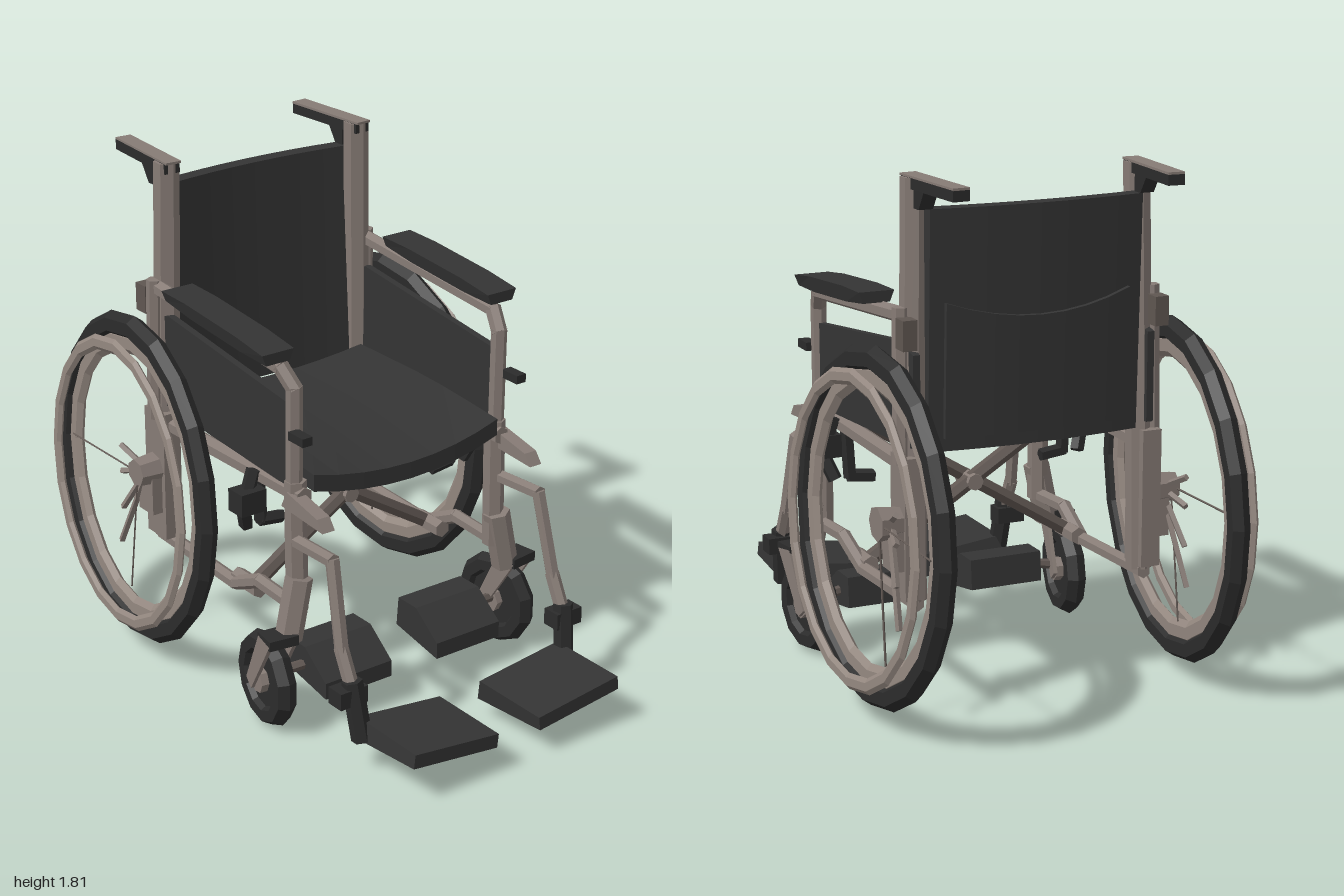
import * as THREE from 'three';
import { mergeGeometries } from 'three/addons/utils/BufferGeometryUtils.js';

const mat = (name, color) => Object.assign(new THREE.MeshStandardMaterial({ color }), { name });

export function createModel() {
  const frame = mat('frame metal', 0x867b75);
  const bright = mat('bright rim metal', 0x93877f);
  const dull = mat('dull metal', 0x5f5651);
  const fabric = mat('dark fabric', 0x343434);
  const rubber = mat('black rubber', 0x2b2b2b);
  const model = new THREE.Group();
  model.name = 'wheelchair';

  // Faceted mesh helper
  const add = (name, geo, material, x = 0, y = 0, z = 0, parent = model) => {
    const flat = geo.index ? geo.toNonIndexed() : geo;
    flat.computeVertexNormals();
    const m = new THREE.Mesh(flat, material);
    m.name = name;
    m.position.set(x, y, z);
    parent.add(m);
    return m;
  };

  // Chain of straight bars through a list of points
  const pathGeo = (points, r, sides) => mergeGeometries(points.slice(1).map((p, i) => {
    const a = new THREE.Vector3(...points[i]), b = new THREE.Vector3(...p);
    const dir = b.clone().sub(a), len = dir.length();
    const g = new THREE.CylinderGeometry(r, r, len + r * 0.6, sides);
    g.applyQuaternion(new THREE.Quaternion().setFromUnitVectors(new THREE.Vector3(0, 1, 0), dir.normalize()));
    const mid = a.add(b).multiplyScalar(0.5);
    return g.translate(mid.x, mid.y, mid.z);
  }));

  // Plate with a [z, y] outline and a thickness along x
  const sideProfile = (pts, width) => {
    const shape = new THREE.Shape(pts.map(([z, y]) => new THREE.Vector2(z, y)));
    return new THREE.ExtrudeGeometry(shape, { depth: width, bevelEnabled: false })
      .translate(0, 0, -width / 2).rotateY(-Math.PI / 2);
  };

  // Moves every vertex by a rule
  const bend = (geo, rule) => {
    const p = geo.attributes.position, v = new THREE.Vector3();
    for (let i = 0; i < p.count; i++) {
      v.fromBufferAttribute(p, i);
      rule(v);
      p.setXYZ(i, v.x, v.y, v.z);
    }
    return geo;
  };

  // Sagging seat sling, lower at its front edge
  add('seat', bend(new THREE.BoxGeometry(0.78, 0.06, 0.8, 8, 1, 5), v => {
    const front = Math.max(0, v.z / 0.4);
    v.y -= 0.03 * front + (0.025 + 0.025 * front) * (1 - (v.x / 0.39) ** 2);
    if (v.z > 0.39) v.z -= 0.02 * (v.x / 0.39) ** 2;
  }), fabric, 0, 0.94, 0);

  // Slightly bowed, reclined backrest and its rear pocket
  const bow = v => { v.z -= 0.03 * (1 - (v.x / 0.385) ** 2) + 0.03 * v.y; };
  add('backrest', bend(new THREE.BoxGeometry(0.76, 0.8, 0.055, 8, 1, 1), bow), fabric, 0, 1.31, -0.49);
  add('backPocket', bend(new THREE.BoxGeometry(0.66, 0.45, 0.025, 8, 1, 1), v => {
    bow(v);
    if (v.y > 0) v.y -= 0.06 * (1 - (v.x / 0.33) ** 2);
  }), fabric, 0, 1.18, -0.518);

  for (const s of [1, -1]) {
    const side = new THREE.Group();
    side.name = s > 0 ? 'leftSide' : 'rightSide';
    model.add(side);
    const part = (name, geo, m, x, y, z) => add(name, geo, m, x * s, y, z, side);
    const tube = (name, pts, r, m = frame, sides = 6) =>
      add(name, pathGeo(pts.map(([x, y, z]) => [x * s, y, z]), r, sides), m, 0, 0, 0, side);

    // Large rear wheel: slightly oval, cambered and toed
    const ring = (name, radius, t, squash, m, x) => {
      const g = new THREE.TorusGeometry(radius, t, 6, 20).rotateY(Math.PI / 2).scale(squash, 1, 0.89);
      part(name, g, m, x, 0.665, -0.46).rotation.set(0, 0.068 * s, 0.025 * s);
    };
    ring('rearTyre', 0.562, 0.046, 0.8, rubber, 0.555);
    ring('rearRim', 0.505, 0.042, 0.5, bright, 0.555);
    ring('handRim', 0.512, 0.028, 0.5, bright, 0.633);

    // Hub, axle plate and a few fine spokes
    part('hub', new THREE.CylinderGeometry(0.05, 0.06, 0.1, 7).rotateZ(Math.PI / 2), frame, 0.5, 0.68, -0.47);
    part('axlePlate', new THREE.BoxGeometry(0.07, 0.48, 0.12), frame, 0.435, 0.66, -0.465);
    part('axleBracket', new THREE.BoxGeometry(0.05, 0.16, 0.09), frame, 0.485, 0.6, -0.47);
    [[0.21, -0.53], [0.68, -0.9]].forEach(([y, z]) =>
      tube('spoke', [[0.54, 0.68, -0.47], [0.545, y, z]], 0.004, dull, 4));
    [[0.74, -0.59], [0.64, -0.59], [0.5, -0.59], [0.36, -0.61]].forEach(([y, z]) =>
      tube('spokeStub', [[0.5, 0.68, -0.47], [0.53, y, z]], 0.012, frame, 4));

    // Back post and push handle
    tube('backPost', [[0.42, 0.42, -0.47], [0.415, 0.95, -0.46], [0.4, 1.79, -0.447]], 0.045);
    part('pushHandle', new THREE.BoxGeometry(0.058, 0.036, 0.35), rubber, 0.388, 1.787, -0.585).rotation.y = 0.07 * s;
    part('handleTop', new THREE.BoxGeometry(0.058, 0.008, 0.36), frame, 0.388, 1.808, -0.58).rotation.y = 0.07 * s;
    part('handleGusset', sideProfile([[-0.49, 1.77], [-0.49, 1.71], [-0.53, 1.71], [-0.57, 1.77]], 0.05), rubber, 0.395, 0, 0);

    // Armrest: bent tube, rear socket, tapered pad and side panel
    tube('armTube', [[0.43, 0.85, 0.325], [0.43, 1.24, 0.33], [0.445, 1.3, 0.28], [0.445, 1.36, -0.44]], 0.028);
    tube('rearArmPost', [[0.455, 1.38, -0.46], [0.46, 0.88, -0.47]], 0.028);
    part('armSocket', new THREE.BoxGeometry(0.05, 0.1, 0.06), dull, 0.455, 1.31, -0.51);
    part('armPad', bend(new THREE.BoxGeometry(0.125, 0.055, 0.59, 1, 1, 4), v => {
      if (v.y < 0) v.x *= 0.75;
      if (Math.abs(v.z) > 0.29) v.y *= 0.7;
      v.y -= 0.08 * v.z;
    }), fabric, 0.468, 1.368, 0);
    part('sidePanel', sideProfile([[0.32, 0.88], [0.32, 1.18], [-0.4, 1.265], [-0.52, 1.24], [-0.52, 0.93], [-0.2, 0.91]], 0.025),
      fabric, 0.425, 0, 0);
    part('armLatch', new THREE.BoxGeometry(0.04, 0.03, 0.08), rubber, 0.45, 1.09, 0.39);

    // Main side frame
    tube('frontPost', [[0.425, 0.45, 0.33], [0.425, 0.9, 0.325]], 0.038);
    tube('seatRail', [[0.42, 0.865, 0.36], [0.42, 0.85, -0.47]], 0.032);
    tube('lowerRail', [[0.43, 0.45, 0.32], [0.43, 0.46, 0.12], [0.42, 0.385, -0.04], [0.42, 0.4, -0.5]], 0.026);
    part('frontClamp', sideProfile([[0.53, 0.805], [0.5, 0.845], [0.33, 0.88], [0.3, 0.82]], 0.05), frame, 0.44, 0, 0);

    // Wheel brake beside the tyre
    tube('brakeLever', [[0.46, 0.88, 0.13], [0.5, 0.76, 0.13], [0.47, 0.68, 0.1]], 0.026, rubber, 5);
    part('brakeBlock', new THREE.BoxGeometry(0.1, 0.08, 0.08), rubber, 0.49, 0.79, 0.14);
    tube('brakeArm', [[0.42, 0.84, 0.1], [0.41, 0.68, 0.1], [0.33, 0.67, 0.1]], 0.024, rubber, 5);

    // Caster, turned slightly outward, with its fork
    const caster = new THREE.Group();
    caster.name = 'caster';
    caster.position.set(0.505 * s, 0.174, 0.265);
    caster.rotation.y = 0.14 * s;
    side.add(caster);
    add('casterTyre', new THREE.TorusGeometry(0.132, 0.04, 6, 11).rotateY(Math.PI / 2), rubber, 0, 0, 0, caster);
    add('casterDisc', new THREE.CylinderGeometry(0.12, 0.12, 0.03, 11).rotateZ(Math.PI / 2), rubber, 0, 0, 0, caster);
    add('casterHub', new THREE.CylinderGeometry(0.045, 0.045, 0.085, 7).rotateZ(Math.PI / 2), frame, 0, 0, 0, caster);
    for (const x of [-0.048, 0.048])
      add('casterFork', sideProfile([[0.125, 0.186], [0.045, 0.196], [-0.05, -0.004], [-0.015, -0.034]], 0.015), frame, x, 0, 0, caster);
    add('forkCrown', new THREE.BoxGeometry(0.11, 0.035, 0.09), rubber, 0, 0.19, 0.085, caster);
    tube('casterStem', [[0.47, 0.36, 0.345], [0.43, 0.55, 0.345]], 0.048);

    // Footrest hanger and plate
    tube('footHanger', [[0.435, 0.7, 0.33], [0.44, 0.71, 0.55], [0.455, 0.42, 0.62], [0.455, 0.28, 0.69]], 0.025);
    tube('footClamp', [[0.455, 0.32, 0.68], [0.44, 0.13, 0.71]], 0.036, rubber);
    part('footKnob', new THREE.BoxGeometry(0.11, 0.06, 0.07), rubber, 0.465, 0.28, 0.67);
    part('footplate', sideProfile([[0.99, 0.035], [0.68, 0.035], [0.66, -0.045], [0.99, -0.015]], 0.35),
      fabric, 0.265, 0.135, 0).rotation.z = 0.12 * s;

    // Wedge-shaped rest under the seat
    part('heelBlock', sideProfile([[0.43, 0.12], [0.43, 0.18], [0.31, 0.27], [0.21, 0.27], [0.2, 0.16]], 0.28),
      fabric, 0.24, 0, 0);
    tube('heelBlockArm', [[0.36, 0.2, 0.3], [0.46, 0.19, 0.28]], 0.018, dull);

    // One bar of the folding cross brace
    const z = 0.01 + 0.025 * s;
    tube('crossBrace', [[-0.4, 0.4, z], [0.37, 0.88, z]], 0.028, dull);
    tube('braceFoot', [[0.4, 0.4, -0.05], [0.4, 0.4, 0.07]], 0.032);
  }
  // Pivot of the cross brace
  add('bracePivot', new THREE.CylinderGeometry(0.03, 0.03, 0.12, 8).rotateX(Math.PI / 2), frame, 0, 0.645, 0.01);
  return model;
}
